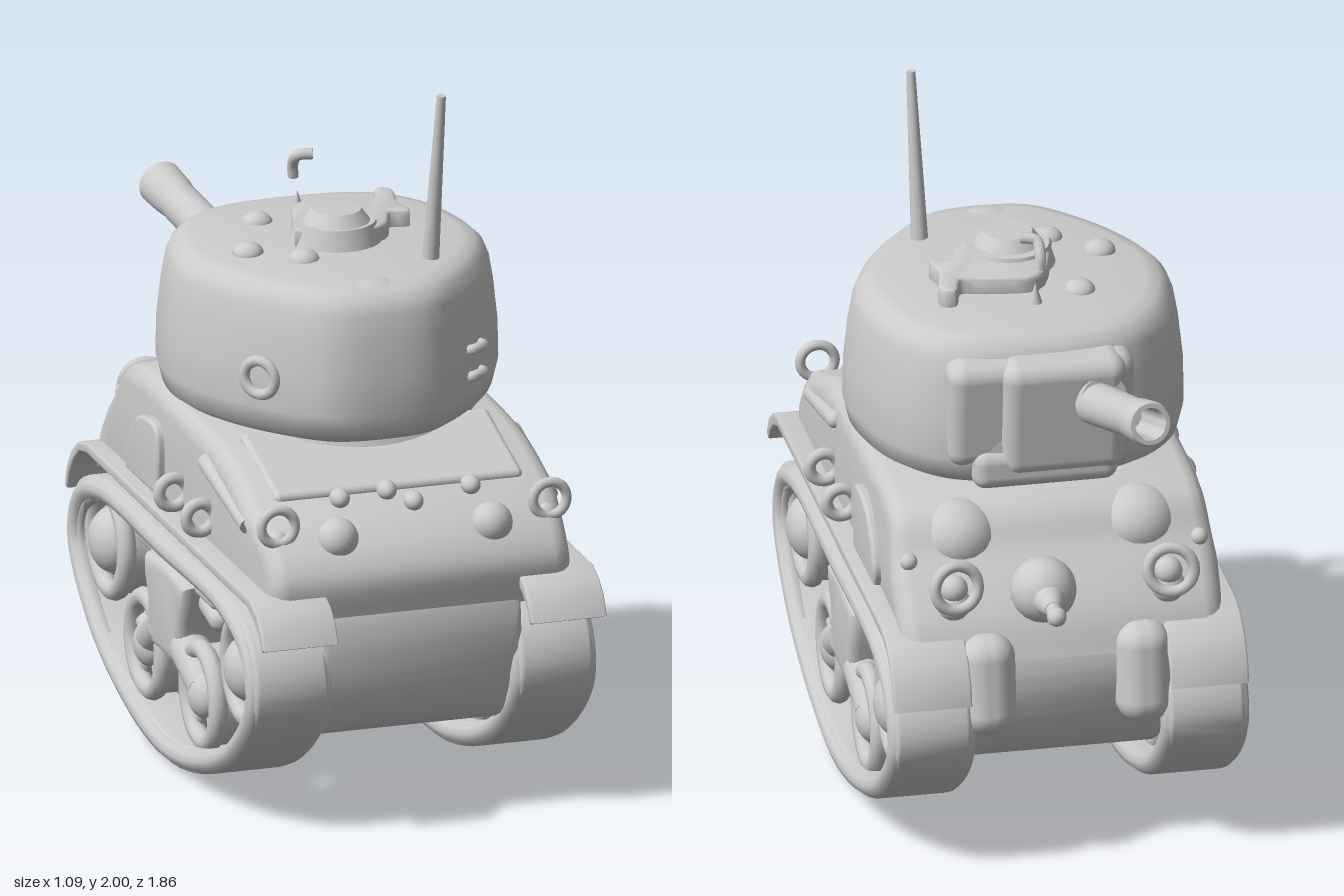
import * as THREE from 'three';
import { toCreasedNormals } from 'three/addons/utils/BufferGeometryUtils.js';
import { RoundedBoxGeometry } from 'three/addons/geometries/RoundedBoxGeometry.js';

const material = new THREE.MeshStandardMaterial({ color: 0xcccccc, side: THREE.DoubleSide });
const V = (x, y, z) => new THREE.Vector3(x, y, z);
const pts2 = (list) => list.map(([a, b]) => new THREE.Vector2(a, b));

function add(parent, name, geometry, position = [0, 0, 0], rotation = [0, 0, 0], scale = [1, 1, 1]) {
  const mesh = new THREE.Mesh(geometry, material);
  mesh.name = name;
  mesh.position.set(...position);
  mesh.rotation.set(...rotation);
  mesh.scale.set(...scale);
  parent.add(mesh);
  return mesh;
}

// Smooth closed outline through a few (z, y) points
function smoothOutline(list, n = 96) {
  const curve = new THREE.CatmullRomCurve3(list.map(([a, b]) => V(a, b, 0)), true);
  return curve.getSpacedPoints(n).slice(0, n).map((p) => new THREE.Vector2(p.x, p.y));
}

// Side profile in (z, y) extruded across x, centred on x = 0
function sideExtrude(outline, width, bevel = 0.02, hole = null) {
  const shape = new THREE.Shape(outline);
  if (hole) shape.holes.push(new THREE.Path(hole));
  const geometry = new THREE.ExtrudeGeometry(shape, {
    depth: width - 2 * bevel, bevelEnabled: true, bevelSize: bevel, bevelThickness: bevel, bevelOffset: -bevel, bevelSegments: 3,
  });
  geometry.translate(0, 0, -(width - 2 * bevel) / 2);
  geometry.rotateY(-Math.PI / 2);
  return toCreasedNormals(geometry, 0.7);
}

const tube = (list, radius) => new THREE.TubeGeometry(new THREE.CatmullRomCurve3(list.map((p) => V(...p))), 32, radius, 10);
const ball = (r) => new THREE.SphereGeometry(r, 24, 16);

// Rod between two points, with tapering radius
function rod(parent, name, a, b, r0, r1) {
  const start = V(...a), end = V(...b), dir = end.clone().sub(start);
  const mesh = add(parent, name, new THREE.CylinderGeometry(r1, r0, dir.length(), 24));
  mesh.position.copy(start).add(end).multiplyScalar(0.5);
  mesh.quaternion.setFromUnitVectors(V(0, 1, 0), dir.normalize());
}

// Turret shell: one plan outline, scaled level by level
function turretGeometry() {
  const half = [[0.16, 0.505], [0.29, 0.39], [0.41, 0.22], [0.48, 0.03], [0.465, -0.17], [0.4, -0.34], [0.27, -0.46]];
  const plan = [[0, 0.53], ...half, [0, -0.5], ...half.map(([x, z]) => [-x, z]).reverse()];
  const outline = smoothOutline(plan, 80);
  const levels = [[1.04, 0], [1.04, 0.76], [1.05, 0.88], [1.08, 0.97], [1.14, 1], [1.25, 0.995], [1.36, 0.97],
    [1.43, 0.945], [1.465, 0.915], [1.49, 0.86], [1.5, 0.78], [1.51, 0.5], [1.515, 0]];
  const n = outline.length, position = [], index = [];
  for (const [y, s] of levels) for (const p of outline) position.push(p.x * s, y, p.y * s);
  for (let i = 0; i < levels.length - 1; i++) for (let j = 0; j < n; j++) {
    const a = i * n + j, b = i * n + (j + 1) % n;
    index.push(a, b, a + n, b, b + n, a + n);
  }
  const geometry = new THREE.BufferGeometry();
  geometry.setAttribute('position', new THREE.Float32BufferAttribute(position, 3));
  geometry.setIndex(index);
  geometry.computeVertexNormals();
  return geometry;
}

function buildHull(hull) {
  // Upper hull, narrowing slightly toward the roof and the two ends
  const profile = new THREE.SplineCurve(pts2([[0.8, 0.64], [0.82, 0.77], [0.73, 0.88], [0.55, 0.965], [0.35, 1.02], [0, 1.035],
    [-0.46, 1.03], [-0.6, 0.9], [-0.72, 0.76], [-0.77, 0.64]])).getPoints(60);
  const upper = sideExtrude(profile, 0.96, 0.05);
  const p = upper.attributes.position;
  for (let i = 0; i < p.count; i++) {
    const narrow = 1 - 0.22 * Math.max(0, p.getY(i) - 0.75) - 0.35 * Math.max(0, Math.abs(p.getZ(i)) - 0.6);
    p.setX(i, p.getX(i) * narrow);
  }
  add(hull, 'upperHull', upper);
  add(hull, 'turretRing', new THREE.CylinderGeometry(0.4, 0.43, 0.07, 48), [0, 1.025, 0]);

  // Lower hull with rounded nose
  const lower = smoothOutline([[0.79, 0.68], [0.8, 0.45], [0.7, 0.28], [0.45, 0.23], [0, 0.225], [-0.45, 0.23], [-0.66, 0.32],
    [-0.76, 0.5], [-0.755, 0.66], [-0.65, 0.76], [0.65, 0.78]]);
  add(hull, 'lowerHull', sideExtrude(lower, 0.6, 0.02));

  // Engine deck and rear fittings
  add(hull, 'engineDeck', new RoundedBoxGeometry(0.74, 0.04, 0.34, 3, 0.018), [0, 0.988, 0.44], [0.27, 0, 0]);
  for (const [x, y, z] of [[-0.19, 0.95, 0.64], [-0.05, 0.96, 0.64], [0.02, 0.93, 0.67], [0.2, 0.95, 0.64]])
    add(hull, 'deckCap', ball(0.028), [x, y, z], [0, 0, 0], [1, 1, 1.3]);

  // Ball-mounted bow gun
  add(hull, 'bowBall', ball(0.095), [0.05, 0.82, -0.69]);
  rod(hull, 'bowGunRoot', [0.05, 0.82, -0.76], [0.05, 0.82, -0.83], 0.05, 0.024);
  rod(hull, 'bowGun', [0.05, 0.82, -0.8], [0.05, 0.82, -0.88], 0.022, 0.022);
  add(hull, 'bowGunTip', ball(0.028), [0.05, 0.82, -0.88]);

  for (const s of [1, -1]) {
    // Drive housings bulging beside the nose
    add(hull, 'driveHousing', new RoundedBoxGeometry(0.16, 0.3, 0.2, 5, 0.07), [s * 0.225, 0.57, -0.73], [0.12, 0, 0]);
    add(hull, 'rearLamp', ball(0.06), [s * 0.23, 0.865, 0.74]);
    add(hull, 'rearRing', new THREE.TorusGeometry(0.05, 0.015, 10, 28), [s * 0.405, 0.915, 0.735]);
    add(hull, 'rearRingFoot', ball(0.035), [s * 0.4, 0.86, 0.71]);
    add(hull, 'driverHood', ball(0.12), [s * 0.26, 0.92, -0.49], [0, 0, 0], [1, 0.9, 1]);
    add(hull, 'lampGuard', new THREE.TorusGeometry(0.065, 0.017, 10, 28), [s * 0.31, 0.87, -0.74], [0.15, s * 0.15, 0]);
    add(hull, 'frontLamp', ball(0.04), [s * 0.31, 0.85, -0.7]);
    add(hull, 'lampFoot', ball(0.05), [s * 0.31, 0.8, -0.69]);
    add(hull, 'sidePeg', ball(0.025), [s * 0.42, 0.9, -0.6]);
    rod(hull, 'stowedBar', [s * 0.45, 0.88, 0.6], [s * 0.455, 0.96, 0.25], 0.024, 0.026);
    add(hull, 'barEnd', ball(0.026), [s * 0.455, 0.96, 0.25]);
    for (const z of [0.27, 0.03])
      add(hull, 'sideHandle', new THREE.TorusGeometry(0.042, 0.018, 10, 28), [s * 0.483, 0.805, z]);
    // Side armour patch with a rounded front corner
    const patch = new THREE.SplineCurve(pts2([[-0.13, 0.74], [-0.13, 0.93], [-0.27, 0.94], [-0.36, 0.88], [-0.41, 0.8], [-0.4, 0.74]]));
    add(hull, 'sidePatch', sideExtrude(patch.getPoints(30), 0.04, 0.012), [s * 0.463, 0, 0]);
    // Mudguard strip, curling down over both ends of the track
    const guard = pts2([[0.93, 0.615], [0.9, 0.67], [0.86, 0.705], [0.8, 0.73], [-0.66, 0.735], [-0.74, 0.715], [-0.8, 0.67], [-0.84, 0.61],
      [-0.855, 0.55], [-0.84, 0.545], [-0.82, 0.6], [-0.78, 0.65], [-0.73, 0.69], [-0.66, 0.705], [0.78, 0.7], [0.84, 0.675], [0.885, 0.64], [0.905, 0.605]]);
    add(hull, 'mudguard', sideExtrude(guard, 0.225, 0.006), [s * 0.4, 0, 0]);
  }
}

function buildTrack(side) {
  const track = new THREE.Group();
  track.name = side > 0 ? 'leftTrack' : 'rightTrack';
  // Track band and its raised rims
  const loop = [[0, 0.005], [0.38, 0.075], [0.67, 0.22], [0.835, 0.42], [0.79, 0.57], [0.6, 0.655], [0, 0.665],
    [-0.6, 0.655], [-0.79, 0.57], [-0.84, 0.42], [-0.67, 0.22], [-0.38, 0.075]];
  const outer = smoothOutline(loop);
  const inner = outer.map((q) => new THREE.Vector2(q.x * 0.905, 0.36 + (q.y - 0.36) * 0.78));
  add(track, 'trackBand', sideExtrude(outer, 0.22, 0.015, inner), [0.395, 0, 0]);
  for (const x of [0.3, 0.49]) {
    const rim = loop.map(([z, y]) => V(x, 0.36 + (y - 0.36) * 0.89, z * 0.95));
    add(track, 'trackRim', new THREE.TubeGeometry(new THREE.CatmullRomCurve3(rim, true), 110, 0.033, 10, true));
  }
  // End wheels and road wheels
  const wheels = [[0.61, 0.46, 0.145, 0.095], [-0.6, 0.46, 0.145, 0.095], [0.23, 0.26, 0.135, 0.07], [-0.26, 0.26, 0.135, 0.07]];
  for (const [z, y, r, hub] of wheels) {
    const wheel = new THREE.Group();
    wheel.name = 'wheel';
    wheel.position.set(0.44, y, z);
    for (const x of [0.02, -0.08])
      add(wheel, 'wheelRim', new THREE.TorusGeometry(r, 0.028, 10, 40), [x, 0, 0], [0, Math.PI / 2, 0]);
    add(wheel, 'wheelTyre', new THREE.CylinderGeometry(r + 0.01, r + 0.01, 0.1, 40, 1, true), [-0.03, 0, 0], [0, 0, Math.PI / 2]);
    for (let i = 0; i < 5; i++) {
      const a = (i / 5) * Math.PI * 2 + 0.3;
      rod(wheel, 'spoke', [-0.01, 0, 0], [0, Math.sin(a) * r, Math.cos(a) * r], 0.03, 0.026);
    }
    add(wheel, 'hub', ball(hub), [0.01, 0, 0], [0, 0, 0], [0.75, 1, 1]);
    rod(wheel, 'axle', [0, 0, 0], [-0.17, 0, 0], 0.04, 0.04);
    track.add(wheel);
  }
  // Suspension bracket, arms and return skids
  const bracket = pts2([[0.17, 0.56], [0.15, 0.49], [0.12, 0.44], [0.1, 0.33], [0.06, 0.3], [-0.13, 0.3], [-0.16, 0.33], [-0.17, 0.44], [-0.2, 0.5], [-0.2, 0.56], [0, 0.58]]);
  add(track, 'bracket', sideExtrude(bracket, 0.21, 0.03), [0.395, 0, 0]);
  for (const [a, b] of [[0.07, 0.22], [-0.12, -0.25]])
    rod(track, 'bogieArm', [0.45, 0.36, a], [0.45, 0.28, b], 0.06, 0.05);
  for (const z of [0.25, -0.27]) {
    add(track, 'skid', new RoundedBoxGeometry(0.16, 0.045, 0.17, 3, 0.02), [0.39, 0.565, z]);
    add(track, 'skidArm', new RoundedBoxGeometry(0.12, 0.07, 0.16, 4, 0.033), [0.4, 0.51, z > 0 ? 0.24 : -0.2], [z > 0 ? 0.2 : -0.2, 0, 0]);
  }
  track.scale.x = side;
  return track;
}

function buildTurret(turret) {
  add(turret, 'turretShell', turretGeometry());
  // Stepped front plate, mantlet and hollow main gun
  add(turret, 'frontPlate', new RoundedBoxGeometry(0.54, 0.33, 0.16, 4, 0.05), [0.01, 1.28, -0.42], [-0.1, 0, 0]);
  add(turret, 'mantlet', new RoundedBoxGeometry(0.36, 0.36, 0.2, 4, 0.05), [-0.05, 1.27, -0.435], [-0.1, 0, 0]);
  add(turret, 'mantletLip', new RoundedBoxGeometry(0.42, 0.12, 0.12, 4, 0.04), [0, 1.11, -0.45]);
  rod(turret, 'gunRoot', [-0.14, 1.31, -0.45], [-0.155, 1.33, -0.555], 0.095, 0.07);
  const barrel = new THREE.LatheGeometry(pts2([[0.062, -0.4], [0.058, -0.12], [0.063, -0.08], [0.066, -0.01], [0.06, 0], [0.047, 0], [0.042, -0.02], [0.04, -0.16], [0, -0.16]]), 32);
  add(turret, 'gunBarrel', toCreasedNormals(barrel, 0.7), [-0.215, 1.41, -0.91])
    .quaternion.setFromUnitVectors(V(0, 1, 0), V(-0.085, 0.105, -0.4).normalize());
  // Hatch ring with pointed side plate
  add(turret, 'cupolaBase', new THREE.CylinderGeometry(0.115, 0.14, 0.08, 40), [0, 1.53, 0.03]);
  add(turret, 'cupolaLid', new THREE.CylinderGeometry(0.07, 0.1, 0.04, 32), [0, 1.585, 0.04]);
  const plate = new THREE.Shape();
  plate.moveTo(-0.12, -0.06);
  plate.splineThru(pts2([[-0.05, 0.16], [0.08, 0.17], [0.18, 0.15], [0.21, 0.22], [0.24, 0.2], [0.22, 0.1], [0.23, 0.02], [0.17, 0.02], [0.13, -0.07], [0.04, -0.13]]));
  const plateGeometry = new THREE.ExtrudeGeometry(plate, { depth: 0.05, bevelSize: 0.01, bevelThickness: 0.015, curveSegments: 4 });
  add(turret, 'hatchPlate', toCreasedNormals(plateGeometry, 0.7), [0, 1.495, 0], [-Math.PI / 2, 0, 0]);
  // Roof caps, vent, sight post and aerial
  for (const [x, z] of [[-0.16, -0.19], [-0.27, 0.06], [-0.14, 0.17]])
    add(turret, 'roofCap', ball(0.045), [x, 1.505, z], [0, 0, 0], [1, 0.75, 1]);
  add(turret, 'rearVent', ball(0.095), [-0.01, 1.465, 0.415], [0.35, 0, 0], [1, 0.4, 0.7]);
  add(turret, 'roofSpike', new THREE.ConeGeometry(0.025, 0.08, 16), [-0.02, 1.53, -0.25]);
  add(turret, 'roofHook', tube([[-0.03, 1.61, -0.255], [-0.035, 1.65, -0.245], [-0.03, 1.685, -0.215], [0.01, 1.69, -0.2]], 0.016));
  rod(turret, 'aerial', [0.21, 1.48, 0.25], [0.225, 2, 0.305], 0.025, 0.013);
  // Rear corner lugs
  for (const y of [1.18, 1.26])
    add(turret, 'smallLug', tube([[0.27, y, 0.385], [0.285, y + 0.01, 0.41], [0.325, y + 0.01, 0.38], [0.33, y, 0.33]], 0.015));
  add(turret, 'grabLoop', new THREE.TorusGeometry(0.05, 0.016, 10, 28), [-0.33, 1.23, 0.345], [0, -0.85, 0]);
}

export function createModel() {
  const model = new THREE.Group();
  model.name = 'tank';
  const hull = new THREE.Group(), turret = new THREE.Group();
  hull.name = 'hull';
  turret.name = 'turret';
  buildHull(hull);
  buildTurret(turret);
  model.add(hull, turret, buildTrack(1), buildTrack(-1));
  return model;
}
